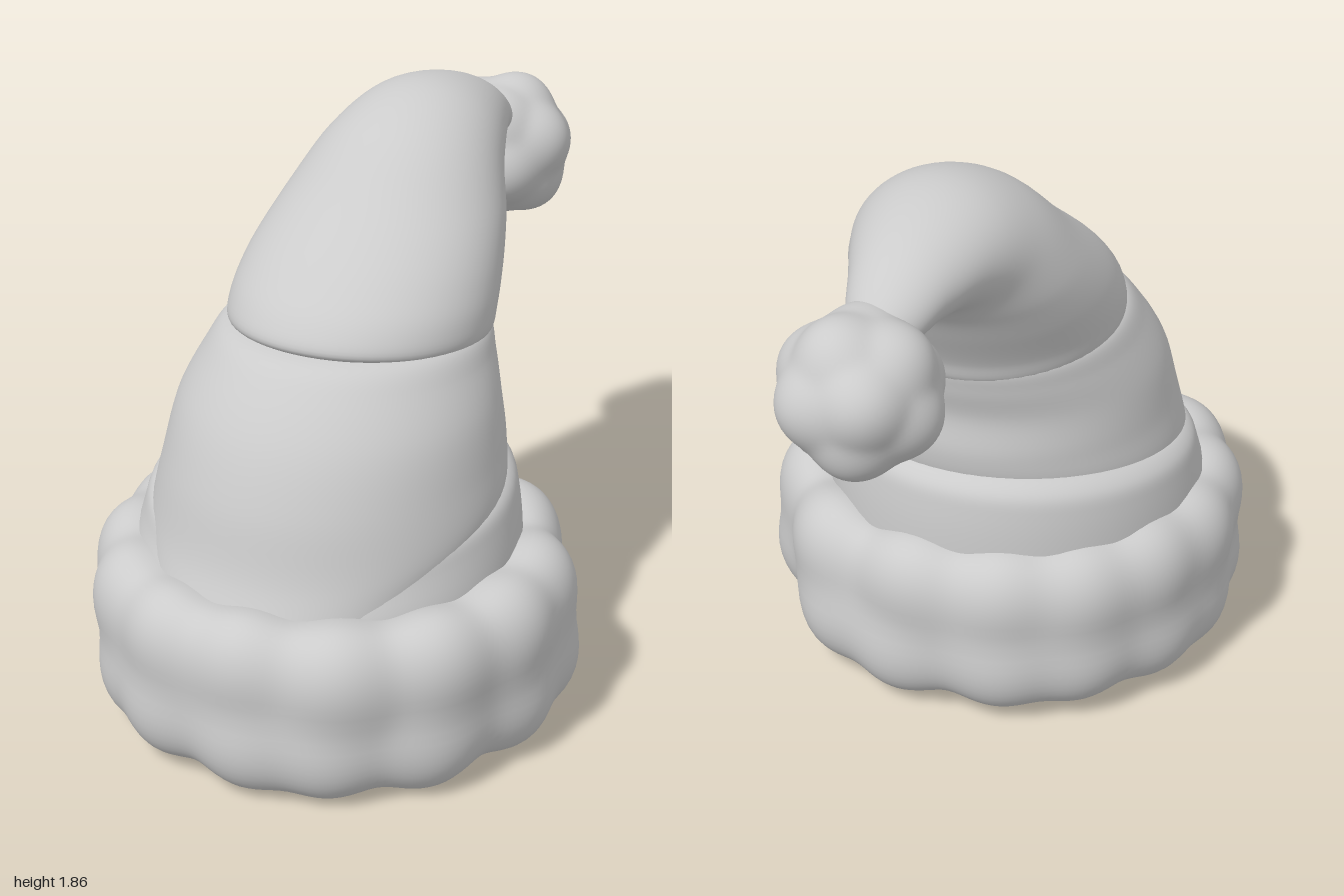
import * as THREE from 'three';
import { mergeVertices } from 'three/addons/utils/BufferGeometryUtils.js';

const material = new THREE.MeshStandardMaterial({ color: 0xcccccc, side: THREE.DoubleSide });
const TAU = Math.PI * 2;

// Smooth surface from point(i, j): rows go up, columns go round and close
function gridSurface(rows, cols, closeRows, point) {
  const positions = [], index = [];
  for (let i = 0; i < rows; i++)
    for (let j = 0; j < cols; j++) positions.push(...point(i, j).toArray());
  for (let i = 0; i < (closeRows ? rows : rows - 1); i++)
    for (let j = 0; j < cols; j++) {
      const up = (i + 1) % rows, next = (j + 1) % cols;
      const a = i * cols + j, b = up * cols + j, c = up * cols + next, d = i * cols + next;
      index.push(a, b, d, b, c, d);
    }
  const geometry = new THREE.BufferGeometry();
  geometry.setAttribute('position', new THREE.Float32BufferAttribute(positions, 3));
  geometry.setIndex(index);
  geometry.computeVertexNormals();
  return geometry;
}

// Soft negative squared distance to the nearest lump centre
function lumpField(p, centres, k) {
  let sum = 0;
  for (const c of centres) sum += Math.exp(-k * p.distanceToSquared(c));
  return Math.log(sum + 1e-12) / k;
}

// Cloth: the hat bends along "bend"; "side" is the horizontal across it
const bend = new THREE.Vector3(0.82, 0, -0.57).normalize();
const side = new THREE.Vector3(0.57, 0, 0.82).normalize();
const base = new THREE.Vector3(-0.22, 0, 0.045);

// Each ring: [outer u, outer y, inner u, inner y, half width, sideways shift]
function clothLayer(rings, steps) {
  const curve = (u, y, w) => new THREE.CatmullRomCurve3(rings.map(r => new THREE.Vector3(r[u], r[y], r[w])));
  const outer = curve(0, 1, 4), inner = curve(2, 3, 5);
  const rows = (rings.length - 1) * steps + 1, cols = 64;
  return gridSurface(rows, cols, false, (i, j) => {
    const o = outer.getPoint(i / (rows - 1)), n = inner.getPoint(i / (rows - 1));
    const a = j / cols * TAU, f = (1 + Math.cos(a)) / 2;
    const p = base.clone().addScaledVector(bend, THREE.MathUtils.lerp(o.x, n.x, f));
    p.y = THREE.MathUtils.lerp(o.y, n.y, f);
    return p.addScaledVector(side, Math.sin(a) * o.z + n.z);
  });
}

const layers = {
  lowerFold: [
    [-0.58, 0.30, 0.60, 0.30, 0.58, 0], [-0.63, 0.50, 0.62, 0.50, 0.615, 0],
    [-0.575, 0.61, 0.61, 0.72, 0.595, 0], [-0.545, 0.67, 0.59, 0.80, 0.575, 0],
    [-0.50, 0.69, 0.53, 0.84, 0.53, 0], [-0.45, 0.68, 0.46, 0.82, 0.48, 0],
  ],
  middleFold: [
    [-0.645, 0.52, 0.48, 0.73, 0.515, 0.01], [-0.585, 0.65, 0.535, 0.80, 0.55, 0.015],
    [-0.535, 0.85, 0.555, 0.90, 0.53, 0.02], [-0.46, 1.03, 0.545, 1.03, 0.50, 0.02],
    [-0.36, 1.17, 0.57, 1.14, 0.45, 0.02], [-0.29, 1.235, 0.575, 1.22, 0.415, 0.02],
    [-0.20, 1.26, 0.49, 1.25, 0.36, 0.015],
  ],
  drapedPeak: [
    [-0.20, 1.23, 0.50, 1.14, 0.37, 0.02], [-0.25, 1.27, 0.575, 1.18, 0.41, 0.025],
    [-0.215, 1.34, 0.60, 1.25, 0.415, 0.025], [-0.11, 1.44, 0.66, 1.36, 0.40, 0.02],
    [0.12, 1.61, 0.72, 1.46, 0.355, 0.015], [0.35, 1.79, 0.78, 1.52, 0.29, 0.01],
    [0.60, 1.865, 0.86, 1.55, 0.23, 0.005], [0.88, 1.81, 0.96, 1.555, 0.16, 0],
    [1.08, 1.69, 1.08, 1.54, 0.09, 0], [1.13, 1.62, 1.13, 1.60, 0.01, 0],
  ],
};

// Fluffy brim: a tall ring with a rounded-box section, swollen by lumps
function brimGeometry() {
  const power = v => Math.sign(v) * Math.abs(v) ** 0.78;
  const jitter = n => { const s = Math.sin(n * 12.9898) * 43758.5453; return s - Math.floor(s) - 0.5; };
  const at = (a, b, swell) => {
    const r = 0.60 + 0.105 * power(Math.cos(b)) + swell * Math.cos(b);
    const y = 0.31 + 0.21 * power(Math.sin(b)) + swell * Math.sin(b);
    return new THREE.Vector3(-0.22 + r * Math.cos(a), y - 0.015 * Math.sin(a), 0.088 + r * Math.sin(a));
  };
  const lumps = [];
  // Angles of the tufts around the brim, in degrees
  [3, 38, 62, 88, 115, 140, 165, 190, 215, 240, 262, 284, 306, 331].forEach((degrees, i) =>
    [0.95, -0.75, Math.PI].forEach((b, row) => {
      const n = i * 3 + row + 1;
      const a = THREE.MathUtils.degToRad(degrees + (row ? 10 * jitter(n) : 0));
      lumps.push(at(a, b + 0.5 * jitter(n + 50), 0));
    }));
  const rows = 56, cols = 180;
  return gridSurface(rows, cols, true, (i, j) => {
    const a = j / cols * TAU, b = i / rows * TAU;
    return at(a, b, 0.09 * Math.exp(lumpField(at(a, b, 0), lumps, 75) / 0.042));
  });
}

// Pompom: a sphere with twelve evenly spread lumps
function welded(geometry) {
  geometry.deleteAttribute('normal');
  geometry.deleteAttribute('uv');
  return mergeVertices(geometry, 1e-4);
}

function pompomGeometry() {
  const points = g => {
    const p = g.attributes.position;
    return Array.from({ length: p.count }, (_, i) => new THREE.Vector3().fromBufferAttribute(p, i));
  };
  const centres = points(welded(new THREE.IcosahedronGeometry(1, 0)));
  const ball = welded(new THREE.IcosahedronGeometry(1, 14));
  points(ball).forEach((p, i) => {
    p.multiplyScalar(0.2 + 0.052 * Math.exp(lumpField(p, centres, 12) / 0.4));
    ball.attributes.position.setXYZ(i, p.x, p.y, p.z);
  });
  ball.rotateY(Math.atan(2 / (1 + Math.sqrt(5))));
  ball.rotateX(0.3);
  ball.computeVertexNormals();
  return ball;
}

export function createModel() {
  const hat = new THREE.Group();
  hat.name = 'floppyHat';
  const add = (name, geometry) => {
    const mesh = new THREE.Mesh(geometry, material);
    mesh.name = name;
    hat.add(mesh);
    return mesh;
  };
  for (const [name, rings] of Object.entries(layers)) add(name, clothLayer(rings, 6));
  add('fluffyBrim', brimGeometry());
  add('pompom', pompomGeometry()).position.set(0.75, 1.475, -0.615);
  return hat;
}
